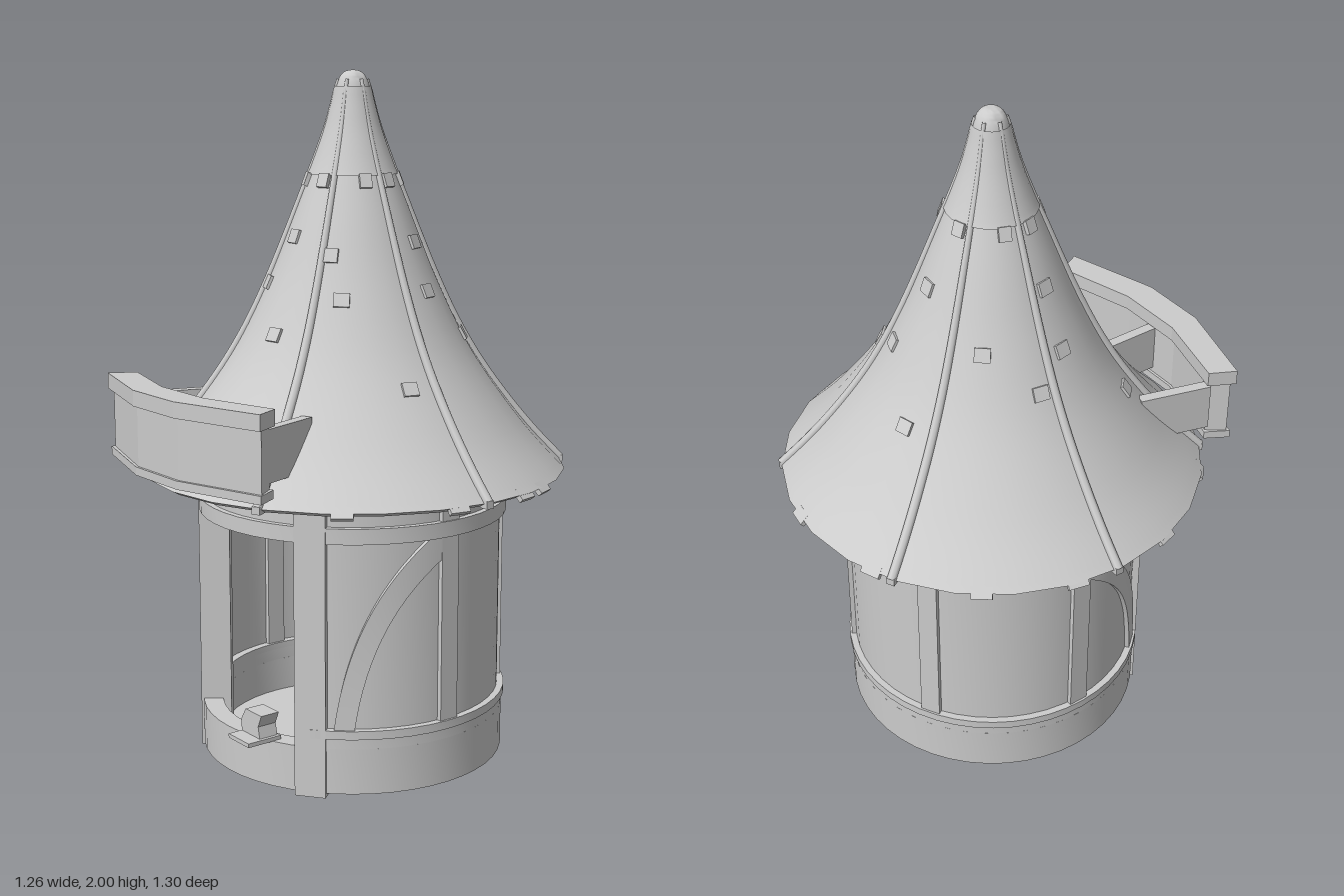
import * as THREE from 'three';
import { toCreasedNormals } from 'three/addons/utils/BufferGeometryUtils.js';
import { ParametricGeometry } from 'three/addons/geometries/ParametricGeometry.js';

const mat = new THREE.MeshStandardMaterial({ color: 0xcccccc, side: THREE.DoubleSide });
const V2 = (x, y) => new THREE.Vector2(x, y);
const deg = Math.PI / 180;
const CZ = -0.03; // z of the tower axis

export function createModel() {
  const model = new THREE.Group();
  const tower = new THREE.Group();
  tower.name = 'tower';
  tower.position.z = CZ;
  model.add(tower);

  const add = (name, geo, parent = tower) => {
    const m = new THREE.Mesh(geo, mat);
    m.name = name;
    parent.add(m);
    return m;
  };
  const box = (name, w, h, d, x, y, z, parent) => {
    const m = add(name, new THREE.BoxGeometry(w, h, d), parent);
    m.position.set(x, y, z);
    return m;
  };
  // Group turned so its +z points outward at angle a (0 = front, + = left)
  const spoke = (name, a) => {
    const g = new THREE.Group();
    g.name = name;
    g.rotation.y = a;
    tower.add(g);
    return g;
  };
  // Curved wall piece of rectangular section
  const ring = (name, r0, r1, y0, y1, a0 = 0, a1 = 2 * Math.PI) => {
    const p = [V2(r0, y0), V2(r1, y0), V2(r1, y1), V2(r0, y1), V2(r0, y0)];
    const n = Math.ceil((a1 - a0) / (2 * Math.PI) * 48);
    return add(name, toCreasedNormals(new THREE.LatheGeometry(p, n, a0, a1 - a0), 0.6));
  };

  // Base, sunken floor and walls; the doorway lies between the two front posts
  const door = 37.4 * deg, round = 2 * Math.PI - door;
  ring('baseRing', 0.39, 0.448, 0.012, 0.145);
  ring('plinth', 0.39, 0.448, 0.145, 0.18, door, round);
  ring('plinthCap', 0.39, 0.455, 0.175, 0.2, door, round);
  const floor = add('floor', new THREE.CylinderGeometry(0.395, 0.395, 0.015, 48));
  floor.position.y = 0.035;
  ring('wall', 0.415, 0.435, 0.2, 0.74, door, round);
  ring('upperWall', 0.415, 0.435, 0.76, 0.9);
  ring('upperBand', 0.41, 0.453, 0.735, 0.78);

  // Door posts and wall beams
  for (const s of [-1, 1]) {
    box('doorPost', 0.09, 0.865, 0.09, 0, 0.4325, 0.408, spoke('doorPostMount', s * door));
    for (const a of [90, 150])
      box('wallBeam', 0.06, 0.7, 0.05, 0, 0.54, 0.423, spoke('wallBeamMount', s * a * deg));
  }

  // Curved braces wrapped round the wall, edges given as (angle, height)
  const upper = new THREE.QuadraticBezierCurve(V2(0.8, 0.195), V2(0.92, 0.61), V2(1.53, 0.77));
  const lower = new THREE.QuadraticBezierCurve(V2(0.93, 0.195), V2(1.04, 0.55), V2(1.53, 0.68));
  const braceGeo = toCreasedNormals(new ParametricGeometry((u, v, out) => {
    const k = Math.round(u * 4) % 4;
    const p = (k === 0 || k === 3 ? upper : lower).getPoint(v);
    const r = k < 2 ? 0.448 : 0.42;
    out.set(r * Math.sin(p.x), p.y, r * Math.cos(p.x));
  }, 4, 16), 0.6);
  for (const s of [-1, 1]) add('brace', braceGeo).scale.x = s;

  // Bell-shaped roof shell
  const curve = new THREE.SplineCurve([
    V2(0.62, 0.865), V2(0.495, 1.0), V2(0.35, 1.2), V2(0.248, 1.4), V2(0.167, 1.6),
    V2(0.09, 1.8), V2(0.06, 1.9), V2(0.044, 1.965), V2(0.026, 1.993), V2(0, 2)]);
  const outer = curve.getPoints(45);
  const inner = outer.filter(p => p.y < 1.9).map(p => V2(p.x - 0.022, p.y - 0.012)).reverse();
  const roof = [V2(0, 1.93), ...inner, ...outer];
  add('roof', toCreasedNormals(new THREE.LatheGeometry(roof, 24), 0.7));

  // Cap over the tip, with a few shingles hanging from its edge
  const cap = outer.filter(p => p.y > 1.72 && p.y < 1.96).map(p => V2(p.x + 0.005, p.y));
  add('roofCap', toCreasedNormals(new THREE.LatheGeometry([V2(0.115, 1.71), V2(0.13, 1.71), ...cap], 24), 0.7));
  for (const a of [15, 68, 100, 140, 195, 250, 285, 335]) {
    const m = box('capShingle', 0.035, 0.04, 0.014, 0, 1.695, 0.133, spoke('capShingleMount', a * deg));
    m.rotation.x = -0.36;
  }

  // Six ribs over the roof, thinning towards the tip
  const ribPath = new THREE.CatmullRomCurve3(
    outer.filter((p, i) => i % 3 === 0 && p.y < 1.98).map(p => new THREE.Vector3(0, p.y, p.x)));
  const ribGeo = new THREE.TubeGeometry(ribPath, 36, 0.014, 8);
  const rp = ribGeo.attributes.position, v = new THREE.Vector3();
  for (let i = 0; i < rp.count; i++) {
    const t = ribGeo.attributes.uv.getX(i);
    v.fromBufferAttribute(rp, i).lerp(ribPath.getPointAt(t), 0.6 * t * t);
    rp.setXYZ(i, v.x, v.y, v.z);
  }
  for (let i = 0; i < 6; i++) {
    const g = spoke('ribMount', (28.5 + i * 60) * deg);
    add('roofRib', ribGeo, g);
    box('ribEnd', 0.024, 0.022, 0.03, 0, 0.862, 0.612, g);
  }

  // Rafters under the eave
  for (let i = 0; i < 18; i++) {
    const r = box('rafter', 0.018, 0.02, 0.2, 0, 0.93, 0.512, spoke('rafterMount', (8.5 + i * 20) * deg));
    r.rotation.x = 0.8;
  }

  // Scattered raised shingles, given by x and z from above
  const shingles = [[-0.09, -0.385], [0.09, -0.3], [0.22, -0.26], [0.015, -0.23], [-0.19, -0.195],
    [0.18, -0.11], [0.24, -0.11], [-0.26, 0.02], [-0.19, 0.01], [0.375, 0.06], [-0.02, 0.16],
    [-0.1, 0.195], [0.12, 0.14], [0.185, 0.15], [0.04, 0.275], [-0.27, 0.245], [-0.3, -0.08]];
  for (const [x, z] of shingles) {
    const r = Math.hypot(x, z - CZ);
    const i = outer.findIndex(p => p.x < r), a = outer[i - 1], b = outer[i];
    const y = a.y + (b.y - a.y) * (a.x - r) / (a.x - b.x);
    const m = box('shingle', 0.045, 0.04, 0.012, 0, y, r, spoke('shingleMount', Math.atan2(x, z - CZ)));
    m.rotation.x = -Math.atan2(a.x - b.x, b.y - a.y);
  }
  for (const a of [50, 80, 103, 112, 172, 202, 232, 257, 287, 317]) {
    const m = box('eaveShingle', 0.06, 0.035, 0.014, 0, 0.862, 0.608, spoke('eaveShingleMount', a * deg));
    m.rotation.x = -0.75;
  }

  // Three-sided sign board in front of the roof
  const sign = new THREE.Group();
  sign.name = 'sign';
  model.add(sign);
  const slab = (name, inset, y0, y1) => {
    const half = [[0.105, 0.648 - inset], [0.387 - inset, 0.565 - inset], [0.348 - inset, 0.49 + inset], [0.105, 0.556 + inset]];
    const pts = [...half, ...half.map(([x, z]) => [-x, z]).reverse()];
    const geo = new THREE.ExtrudeGeometry(new THREE.Shape(pts.map(([x, z]) => V2(x, -z))),
      { depth: y1 - y0, bevelEnabled: false });
    geo.rotateX(-Math.PI / 2).translate(0, y0, 0);
    add(name, geo, sign);
  };
  slab('signTopRail', 0, 1.095, 1.14);
  slab('signBoard', 0.012, 0.92, 1.097);
  slab('signBottomRail', 0.004, 0.9, 0.924);
  for (const [x0, z0, x1, z1] of [[0, 0.39, 0, 0.57], [0.255, 0.32, 0.32, 0.51], [-0.27, 0.3, -0.33, 0.51]]) {
    const arm = box('signArm', 0.032, 0.145, Math.hypot(x1 - x0, z1 - z0), (x0 + x1) / 2, 1.012, (z0 + z1) / 2, sign);
    arm.rotation.y = Math.atan2(x1 - x0, z1 - z0);
  }

  // Doorway sill plate with a small block on it
  box('sillPlate', 0.1, 0.012, 0.11, 0.12, 0.15, 0.41, model);
  const block = new THREE.Shape([[0.07, 0.155], [0.16, 0.155], [0.152, 0.19], [0.168, 0.226], [0.09, 0.226], [0.068, 0.19]]
    .map(([x, y]) => V2(x, y)));
  add('sillBlock', new THREE.ExtrudeGeometry(block, { depth: 0.06, bevelEnabled: false }), model).position.z = 0.36;

  return model;
}
